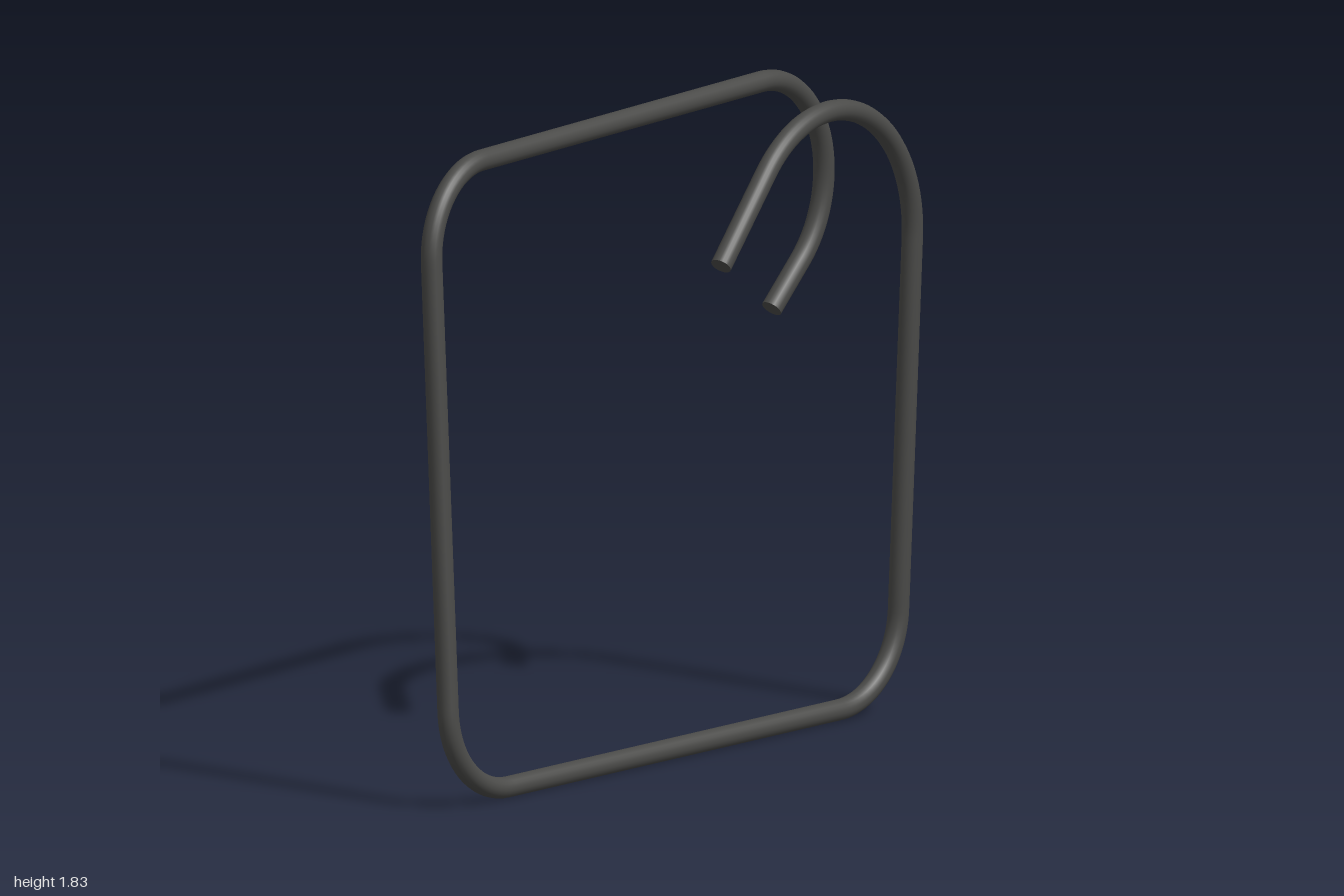
import * as THREE from 'three';

const WIRE = 0.03; // bar radius
const rad = THREE.MathUtils.degToRad;

// Flat outline of the bent bar, from the front hook round to the back hook
function outline() {
  const path = new THREE.Path();
  const bend = (x, y, r, from, to) => path.absarc(x, y, r, rad(from), rad(to), true);
  path.moveTo(0.01, 1.418);
  path.lineTo(0.236, 1.644);
  bend(0.54, 1.34, 0.43, 135, 0);       // front hook
  bend(0.72, 0.28, 0.25, 0, -90);       // bottom corners
  bend(-0.72, 0.28, 0.25, -90, -180);
  bend(-0.72, 1.55, 0.25, 180, 90);     // top corner
  bend(0.65, 1.48, 0.32, 90, -45);      // back hook
  path.lineTo(0.755, 1.133);
  return path;
}

// The outline drifts steadily backwards along its length, like a coil
class CoiledBar extends THREE.Curve {
  constructor() {
    super();
    this.path = outline();
    this.arcLengthDivisions = 800;
  }
  getPoint(t, target = new THREE.Vector3()) {
    const p = this.path.getPoint(t);
    return target.set(p.x, p.y, 0.195 - 0.39 * t);
  }
}

export function createModel() {
  const group = new THREE.Group();
  group.name = 'stirrup';
  const material = new THREE.MeshStandardMaterial({ color: 0x4a4a48 });
  const curve = new CoiledBar();

  const bar = new THREE.Mesh(new THREE.TubeGeometry(curve, 400, WIRE, 20, false), material);
  bar.name = 'bentBar';
  group.add(bar);

  // Flat cut ends
  for (const [name, t, sign] of [['frontEnd', 0, -1], ['backEnd', 1, 1]]) {
    const cap = new THREE.Mesh(new THREE.CircleGeometry(WIRE, 20), material);
    cap.name = name;
    cap.position.copy(curve.getPointAt(t));
    cap.quaternion.setFromUnitVectors(
      new THREE.Vector3(0, 0, 1),
      curve.getTangentAt(t).multiplyScalar(sign)
    );
    group.add(cap);
  }
  return group;
}
